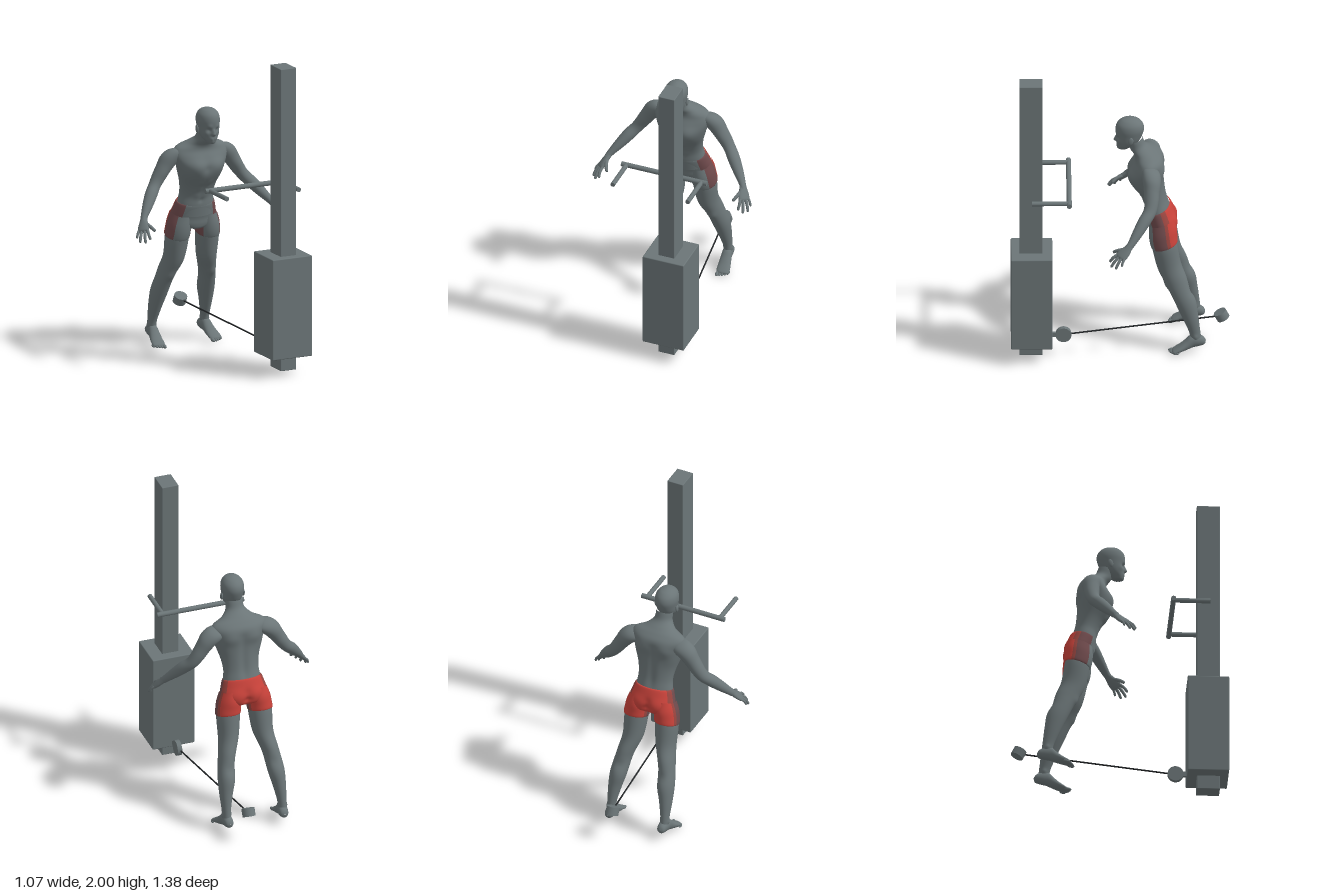
import * as THREE from 'three';
import { RoundedBoxGeometry } from 'three/addons/geometries/RoundedBoxGeometry.js';

const V = (x, y, z) => new THREE.Vector3(x, y, z);
const material = (name, color) => Object.assign(new THREE.MeshStandardMaterial({ color }), { name });

// Smooth loft through elliptical rings [x, y, z, halfWidth, halfDepth] advancing along d.
// Bumps [x, y, z, radius, amount] swell the skin on both sides; pick sorts faces into material groups.
function loft(rows, d, u, { n = 32, sub = 4, bumps = [], pick = null } = {}) {
  d = d.clone().normalize();
  u = u.clone().addScaledVector(d, -u.dot(d)).normalize();
  const v = d.clone().cross(u);
  const centre = new THREE.CatmullRomCurve3(rows.map(r => V(r[0], r[1], r[2])), false, 'catmullrom', 0.5);
  const size = new THREE.CatmullRomCurve3(rows.map(r => V(r[3], r[4], 0)), false, 'catmullrom', 0.5);
  const steps = (rows.length - 1) * sub, pos = [], buckets = [[], [], [], []];
  for (let i = 0; i <= steps; i++) {
    const c = centre.getPoint(i / steps), s = size.getPoint(i / steps);
    for (let j = 0; j < n; j++) {
      const t = j / n * Math.PI * 2;
      const p = c.clone().addScaledVector(u, Math.max(s.x, 0.0005) * Math.cos(t))
        .addScaledVector(v, Math.max(s.y, 0.0005) * Math.sin(t));
      pos.push(p.x, p.y, p.z);
      if (i === steps) continue;
      const k = (j + 1) % n, a = i * n + j, b = i * n + k, e = a + n, f = b + n;
      buckets[pick ? pick(Math.sin((j + 0.5) / n * Math.PI * 2)) : 0].push(a, b, f, a, f, e);
    }
  }
  const g = new THREE.BufferGeometry();
  g.setAttribute('position', new THREE.Float32BufferAttribute(pos, 3));
  g.setIndex(buckets.flat());
  if (pick) {
    let start = 0;
    buckets.forEach((b, m) => { if (b.length) g.addGroup(start, b.length, m); start += b.length; });
  }
  g.computeVertexNormals();
  if (bumps.length) {
    const P = g.attributes.position, N = g.attributes.normal;
    for (let i = 0; i < P.count; i++) {
      let h = 0;
      const x = P.getX(i), y = P.getY(i), z = P.getZ(i);
      for (const [bx, by, bz, r, amt] of bumps)
        h += amt * Math.exp(-((Math.abs(x) - bx) ** 2 + (y - by) ** 2 + (z - bz) ** 2) / (r * r));
      P.setXYZ(i, x + N.getX(i) * h, y + N.getY(i) * h, z + N.getZ(i) * h);
    }
    g.computeVertexNormals();
  }
  return g;
}

// Round bar between two points
function rod(a, b, r) {
  const g = new THREE.CylinderGeometry(r, r, a.distanceTo(b), 20);
  g.applyQuaternion(new THREE.Quaternion().setFromUnitVectors(V(0, 1, 0), b.clone().sub(a).normalize()));
  return g.translate((a.x + b.x) / 2, (a.y + b.y) / 2, (a.z + b.z) / 2);
}

export function createModel() {
  const root = new THREE.Group();
  const grey = material('slateGrey', 0x6b7577);
  const red = material('shortsRed', 0xc8423a);
  const midRed = material('shortsFadedRed', 0x98453f);
  const maroon = material('shortsMaroon', 0x6f4a4c);
  const dark = material('cableDark', 0x222527);
  const man = new THREE.Group(), machine = new THREE.Group();
  man.name = 'athlete';
  machine.name = 'cableMachine';
  root.add(man, machine);
  const add = (group, name, geo, mat = grey) => {
    const m = new THREE.Mesh(geo, mat);
    m.name = name;
    group.add(m);
    return m;
  };
  const onAxis = rows => rows.map(r => [0, ...r]);
  const left = V(-1, 0, 0), spine = V(0, 0.96, 0.27);

  // Torso and neck
  const torsoBumps = [
    [0.07, 1.225, -0.06, 0.055, 0.016], [0, 1.21, -0.05, 0.025, -0.008],
    [0.12, 1.2, -0.24, 0.06, 0.01], [0.085, 1.27, -0.28, 0.05, 0.012], [0, 0.985, -0.155, 0.012, -0.008]];
  for (const y of [1.03, 1.075, 1.12]) torsoBumps.push([0.03, y - 0.015, -0.14 + (y - 1.03) * 0.5, 0.022, 0.006]);
  for (let i = 0; i < 9; i++) torsoBumps.push([0, 1.0 + i * 0.035, -0.295, 0.028, -0.007]);
  add(man, 'torso', loft(onAxis([
    [0.9, -0.25, 0.13, 0.085], [0.97, -0.236, 0.122, 0.08], [1.03, -0.225, 0.115, 0.075],
    [1.1, -0.205, 0.124, 0.085], [1.18, -0.175, 0.146, 0.108], [1.25, -0.17, 0.17, 0.115],
    [1.305, -0.175, 0.185, 0.1], [1.345, -0.17, 0.165, 0.075], [1.375, -0.15, 0.1, 0.06],
    [1.41, -0.115, 0.06, 0.052], [1.46, -0.095, 0.055, 0.05]]), spine, left, { n: 64, sub: 6, bumps: torsoBumps }));

  // Head with brow, eye sockets, nose, lips and ears
  add(man, 'head', loft(onAxis([
    [1.388, -0.02, 0.002, 0.002], [1.394, -0.022, 0.024, 0.026], [1.408, -0.03, 0.037, 0.042],
    [1.43, -0.042, 0.052, 0.057], [1.46, -0.055, 0.063, 0.073], [1.5, -0.062, 0.069, 0.084],
    [1.54, -0.065, 0.073, 0.09], [1.575, -0.065, 0.066, 0.081], [1.6, -0.065, 0.046, 0.056],
    [1.611, -0.065, 0.022, 0.027], [1.615, -0.065, 0.001, 0.001]]), V(0, 1, 0), left, {
    n: 80, sub: 7, bumps: [
      [0, 1.458, 0.018, 0.012, 0.02], [0, 1.476, 0.02, 0.01, 0.01], [0.027, 1.483, 0.01, 0.014, -0.01],
      [0.025, 1.506, 0.015, 0.016, 0.005], [0.01, 1.427, 0.014, 0.012, 0.006], [0, 1.403, 0.01, 0.018, 0.006],
      [0.04, 1.462, -0.005, 0.018, 0.004]] }));

  // Shorts fade from red at the back to grey at the front
  const shortsMats = [grey, maroon, midRed, red];
  const pick = front => front > 0.68 ? 0 : front > -0.2 ? 1 : front > -0.55 ? 2 : 3;
  const glutes = [[0.07, 0.865, -0.36, 0.06, 0.016], [0, 0.86, -0.36, 0.025, -0.016], [0, 0.91, -0.345, 0.025, -0.01]];
  add(man, 'shortsSeat', loft(onAxis([
    [0.795, -0.272, 0.03, 0.04], [0.815, -0.272, 0.1, 0.078], [0.845, -0.27, 0.148, 0.088],
    [0.885, -0.268, 0.155, 0.091], [0.93, -0.254, 0.143, 0.09], [0.968, -0.242, 0.13, 0.086],
    [0.974, -0.24, 0.12, 0.078]]), spine, left, { n: 64, sub: 5, bumps: glutes, pick }), shortsMats);

  for (const s of [1, -1]) {
    const side = s > 0 ? 'left' : 'right';
    const flip = rows => rows.map(([x, ...r]) => [x * s, ...r]);
    const legDir = V(0, -0.72, -0.225), right = V(1, 0, 0);
    const ear = new THREE.SphereGeometry(1, 20, 14).scale(0.008, 0.027, 0.016).rotateX(-0.2);
    add(man, side + 'Ear', ear.translate(s * 0.073, 1.48, -0.07));

    // Leg
    add(man, side + 'ShortsLeg', loft(flip([
      [0.085, 0.9, -0.262, 0.068, 0.08], [0.097, 0.84, -0.268, 0.077, 0.088], [0.103, 0.79, -0.274, 0.08, 0.089],
      [0.107, 0.75, -0.283, 0.08, 0.086], [0.107, 0.745, -0.284, 0.07, 0.076]]), legDir, right,
    { n: 48, bumps: [[0.08, 0.85, -0.36, 0.05, 0.008]], pick }), shortsMats);
    add(man, side + 'Leg', loft(flip([
      [0.1, 0.8, -0.272, 0.07, 0.08], [0.107, 0.73, -0.285, 0.075, 0.081], [0.115, 0.6, -0.312, 0.065, 0.076],
      [0.138, 0.51, -0.352, 0.056, 0.07], [0.152, 0.45, -0.375, 0.053, 0.065], [0.166, 0.36, -0.413, 0.053, 0.062],
      [0.178, 0.26, -0.445, 0.042, 0.05], [0.185, 0.17, -0.469, 0.03, 0.037], [0.187, 0.12, -0.477, 0.027, 0.035],
      [0.187, 0.07, -0.485, 0.027, 0.035]]), legDir, right, {
      n: 40, sub: 5, bumps: [[0.15, 0.475, -0.29, 0.03, 0.008], [0.15, 0.43, -0.445, 0.03, -0.008],
        [0.14, 0.35, -0.47, 0.05, 0.006], [0.215, 0.125, -0.477, 0.014, 0.006], [0.16, 0.13, -0.477, 0.014, 0.006]] }));

    // Foot and toes
    add(man, side + 'Foot', loft(flip([
      [0.182, 0.088, -0.542, 0.002, 0.002], [0.183, 0.088, -0.53, 0.024, 0.026], [0.185, 0.09, -0.495, 0.032, 0.04],
      [0.188, 0.086, -0.455, 0.033, 0.044], [0.192, 0.063, -0.42, 0.037, 0.034], [0.197, 0.043, -0.385, 0.041, 0.024],
      [0.2, 0.029, -0.355, 0.042, 0.017], [0.203, 0.021, -0.335, 0.034, 0.011], [0.203, 0.02, -0.328, 0.002, 0.002]]),
    V(s * 0.06, -0.15, 0.95), right));
    for (let i = 0; i < 5; i++) {
      const r = i ? 0.0085 : 0.012;
      const toe = new THREE.SphereGeometry(1, 14, 10).scale(r, r * 0.9, 0.024 - i * 0.001).rotateX(0.2);
      add(man, side + 'Toe', toe.translate(s * (0.172 + i * 0.0155 + (i ? 0.003 : 0)), 0.015 + i * 0.001, -0.328 - i * i * 0.0018));
    }

    // Arm
    add(man, side + 'Arm', loft(flip([
      [0.115, 1.325, -0.2, 0.01, 0.01], [0.135, 1.315, -0.2, 0.04, 0.045], [0.168, 1.298, -0.2, 0.056, 0.06],
      [0.21, 1.265, -0.2, 0.056, 0.06], [0.245, 1.215, -0.2, 0.049, 0.051], [0.277, 1.165, -0.2, 0.044, 0.045],
      [0.315, 1.11, -0.188, 0.038, 0.041], [0.355, 1.065, -0.155, 0.039, 0.041], [0.4, 1.01, -0.115, 0.033, 0.035],
      [0.443, 0.957, -0.075, 0.023, 0.026], [0.462, 0.93, -0.052, 0.019, 0.024]]),
    V(s * 0.25, -0.37, 0.12), right, { sub: 5, bumps: [[0.27, 1.19, -0.15, 0.035, 0.006]] }));

    // Hand with spread fingers
    const across = V(s * -0.04, 0.01, 0.06).normalize();
    add(man, side + 'Palm', loft(flip([
      [0.45, 0.95, -0.067, 0.02, 0.018], [0.461, 0.928, -0.05, 0.026, 0.018], [0.475, 0.902, -0.024, 0.037, 0.017],
      [0.488, 0.88, -0.003, 0.037, 0.014], [0.491, 0.872, 0.003, 0.022, 0.007], [0.492, 0.87, 0.005, 0.002, 0.001]]),
    V(s * 0.035, -0.06, 0.05), across, { n: 24 }));
    const finger = (name, a, b, r) => {
      const mid = a.clone().lerp(b, 0.5).add(V(s * 0.004, 0.005, 0.003)), end = mid.clone().lerp(b, 0.85);
      const row = (p, k) => [p.x, p.y, p.z, r * k, r * k];
      add(man, side + name, loft([row(a, 1.1), row(mid, 1), row(end, 0.85), row(b, 0.05)],
        b.clone().sub(a), across.clone().add(V(0, 0.9, 0)), { n: 12 }));
    };
    const tips = [[0.53, 0.835, -0.008], [0.527, 0.815, 0.03], [0.503, 0.815, 0.06], [0.473, 0.838, 0.068]];
    tips.forEach(([x, y, z], i) => finger('Finger',
      V(s * 0.484, 0.886, -0.008).addScaledVector(across, -0.028 + i * 0.0187), V(s * x, y, z), i ? 0.0095 : 0.008));
    finger('Thumb', V(s * 0.455, 0.917, -0.022), V(s * 0.427, 0.882, 0.045), 0.011);
  }

  // Column, weight housing and handle bars
  add(machine, 'column', new RoundedBoxGeometry(0.11, 1.965, 0.146, 2, 0.004).translate(0.215, 1.0175, 0.56));
  add(machine, 'weightHousing', new RoundedBoxGeometry(0.28, 0.655, 0.262, 2, 0.006).translate(0.215, 0.453, 0.556));
  add(machine, 'crossBar', rod(V(-0.215, 1.18, 0.32), V(0.365, 1.18, 0.32), 0.016));
  for (const x of [-0.181, 0.328]) add(machine, 'handleArm', rod(V(x, 1.18, 0.32), V(x, 1.18, 0.555), 0.015));

  // Pulley, cable and ankle cuff
  add(machine, 'pulley', rod(V(0.2, 0.155, 0.355), V(0.23, 0.155, 0.355), 0.05));
  add(machine, 'pulleyBracket', new THREE.BoxGeometry(0.02, 0.03, 0.06).translate(0.215, 0.155, 0.41));
  add(machine, 'cable', rod(V(0.212, 0.155, 0.33), V(0.102, 0.217, -0.63), 0.005), dark);
  add(machine, 'cuff', new THREE.CylinderGeometry(0.042, 0.042, 0.052, 28).rotateX(0.48).translate(0.099, 0.221, -0.642));
  return root;
}
